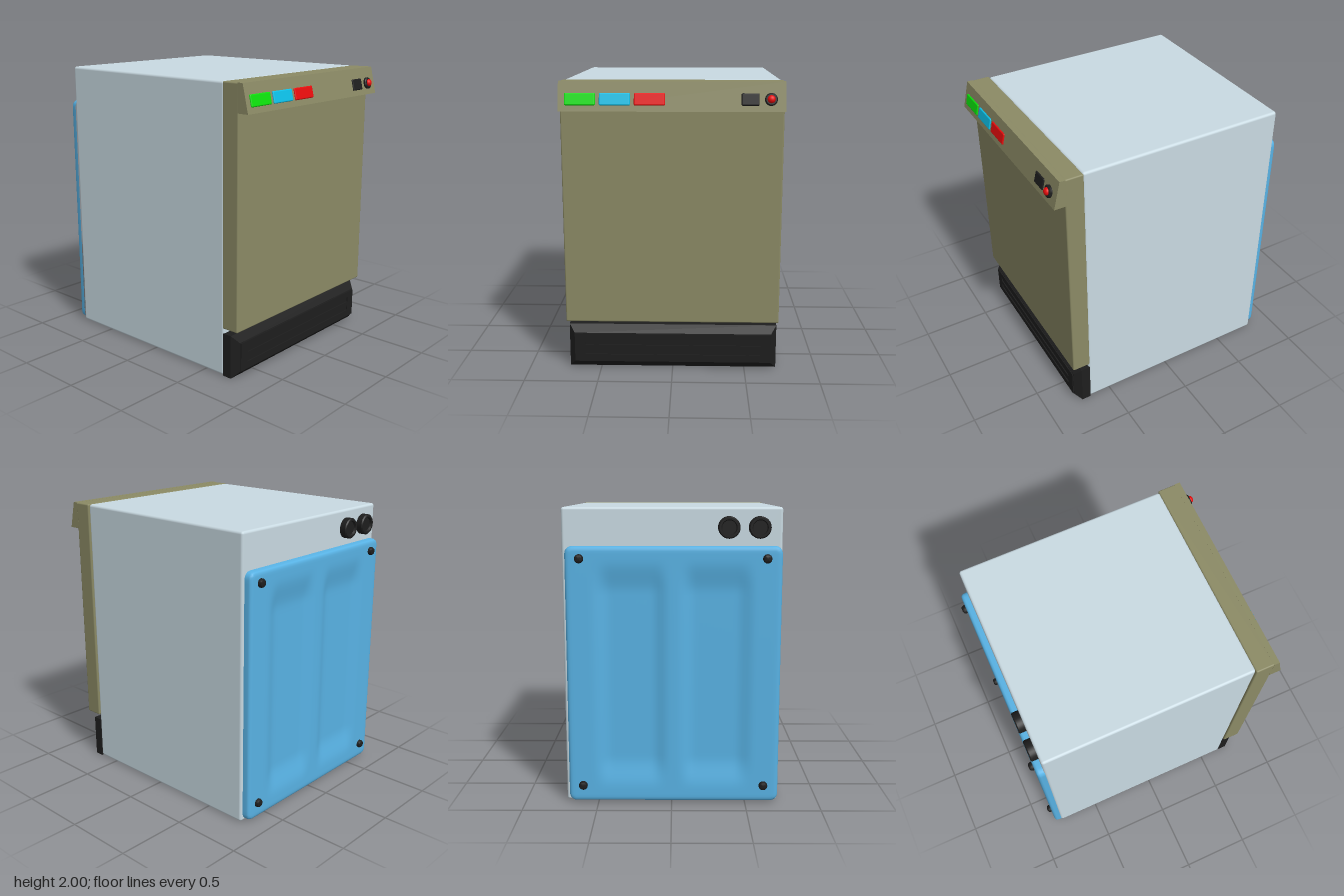
import * as THREE from 'three';
import { RoundedBoxGeometry } from 'three/addons/geometries/RoundedBoxGeometry.js';
import { toCreasedNormals } from 'three/addons/utils/BufferGeometryUtils.js';

const mat = (color) => new THREE.MeshStandardMaterial({ color });
const white = mat(0xc9dae2), olive = mat(0x8b8a65), black = mat(0x1e1e1e);
const blue = mat(0x58b2e4), green = mat(0x0be00b), cyan = mat(0x0cc0e8), red = mat(0xe80c0c);
const { smoothstep, clamp } = THREE.MathUtils;

function add(parent, name, geometry, material, x = 0, y = 0, z = 0) {
  const mesh = new THREE.Mesh(geometry, material);
  mesh.name = name;
  mesh.position.set(x, y, z);
  parent.add(mesh);
  return mesh;
}

// Rounded box given by its limits
function block(parent, name, material, [x0, x1], [y0, y1], [z0, z1], r) {
  return add(parent, name, new RoundedBoxGeometry(x1 - x0, y1 - y0, z1 - z0, 3, r), material,
    (x0 + x1) / 2, (y0 + y1) / 2, (z0 + z1) / 2);
}

// Turned part, its axis along +z
function turned(points, sides = 28) {
  const g = new THREE.LatheGeometry(points.map(([r, y]) => new THREE.Vector2(r, y)), sides);
  return toCreasedNormals(g.rotateX(Math.PI / 2), 0.7);
}

// Pressed sheet: rounded outline and rim, two soft sunken fields; faces -z
function pressedPanel(hx, hy, depth) {
  const n = 64, rim = 5, R = 0.05;
  const g = new THREE.PlaneGeometry(2, 2, n, n);
  const p = g.attributes.position;
  // Crowds the outer grid lines into the rim
  const spread = (t, half) => {
    const i = Math.round((t + 1) / 2 * n), j = Math.min(i, n - i);
    const d = j < rim ? R * (j / rim) ** 2 : R + (half - R) * (j - rim) / (n / 2 - rim);
    return (i < n / 2 ? -1 : 1) * (half - d);
  };
  for (let i = 0; i < p.count; i++) {
    let x = spread(p.getX(i), hx), y = spread(p.getY(i), hy);
    const qx = clamp(x, R - hx, hx - R), qy = clamp(y, R - hy, hy - R);
    const vx = x - qx, vy = y - qy;
    const m = Math.max(Math.abs(vx), Math.abs(vy)), len = Math.hypot(vx, vy) || 1;
    x = qx + vx / len * m;
    y = qy + vy / len * m;
    const ax = Math.abs(x), ay = Math.abs(y);
    const dish = smoothstep(ax, 0.03, 0.14) * (1 - smoothstep(ax, 0.42, 0.54))
      * (1 - smoothstep(ay, 0.56, 0.78));
    const edge = Math.max(0, 1 - Math.min(1, m / R) ** 4) ** 0.25;
    p.setXYZ(i, x, y, depth * edge - 0.03 * dish);
  }
  g.computeVertexNormals();
  return g.rotateY(Math.PI);
}

export function createModel() {
  const model = new THREE.Group();
  model.name = 'dishwasher';

  // Cabinet and door
  block(model, 'cabinet', white, [-0.724, 0.72], [0.003, 2], [-0.81, 0.668], 0.018);
  block(model, 'door', olive, [-0.735, 0.73], [0.35, 2], [0.665, 0.797], 0.01);

  // Control panel: wedge that leans back towards the top
  const wedge = new THREE.Shape([[-0.79, 1.81], [-0.79, 2], [-0.83, 2], [-0.875, 1.81]]
    .map(([x, y]) => new THREE.Vector2(x, y)));
  const wedgeGeo = new THREE.ExtrudeGeometry(wedge, { depth: 1.465, bevelEnabled: false });
  wedgeGeo.translate(0, 0, -0.7325).rotateY(Math.PI / 2);
  add(model, 'controlPanel', wedgeGeo, olive, -0.0025);

  // Buttons and knob lie on the slope of the panel
  const controls = new THREE.Group();
  controls.name = 'controls';
  controls.position.set(0, 1.888, 0.8565);
  controls.rotation.x = -Math.atan2(0.045, 0.19);
  model.add(controls);
  const buttons = [
    ['greenButton', green, -0.695, -0.495], ['blueButton', cyan, -0.47, -0.27],
    ['redButton', red, -0.245, -0.045], ['blackButton', black, 0.445, 0.56],
  ];
  for (const [name, color, x0, x1] of buttons) {
    block(controls, name, color, [x0, x1], [-0.04, 0.04], [-0.012, 0.009], 0.008);
  }
  add(controls, 'knob', turned([[0.041, -0.01], [0.041, 0.012], [0.034, 0.018], [0, 0.018]]), black, 0.635);
  const cap = add(controls, 'knobCap', new THREE.SphereGeometry(0.026, 20, 12), red, 0.635, 0, 0.017);
  cap.scale.z = 0.8;

  // Kick plate with chamfered front
  const kick = new THREE.BoxGeometry(1.445, 0.31, 0.115, 1, 1, 2).toNonIndexed();
  const kp = kick.attributes.position;
  for (let i = 0; i < kp.count; i++) {
    const z = kp.getZ(i);
    if (z > 0.05) {
      kp.setX(i, kp.getX(i) - Math.sign(kp.getX(i)) * 0.04);
      kp.setY(i, kp.getY(i) - Math.sign(kp.getY(i)) * 0.05);
    } else if (z > -0.05) kp.setZ(i, 0.01);
  }
  kick.computeVertexNormals();
  add(model, 'kickPlate', kick, black, 0, 0.155, 0.7205);

  // Kick plate face with two vent slots
  const rect = (Type, x, y0, y1) => new Type([[-x, y0], [x, y0], [x, y1], [-x, y1]]
    .map(([a, b]) => new THREE.Vector2(a, b)));
  const face = rect(THREE.Shape, 0.678, 0.054, 0.256);
  for (const y of [0.105, 0.175]) face.holes.push(rect(THREE.Path, 0.61, y, y + 0.037));
  add(model, 'ventFace', new THREE.ExtrudeGeometry(face, { depth: 0.009, bevelEnabled: false }),
    black, 0, 0, 0.777);

  // Back panel with corner screws
  add(model, 'backPanel', pressedPanel(0.7125, 0.87, 0.052), blue, -0.0125, 0.88, -0.808);
  const screw = turned([[0.03, -0.01], [0.03, 0.014], [0.024, 0.026], [0.012, 0.031], [0, 0.031]], 16);
  for (const x of [-0.622, 0.602]) {
    for (const y of [0.125, 1.67]) {
      add(model, 'screw', screw, black, x, y, -0.857).rotation.y = Math.PI;
    }
  }

  // Hose connectors
  const port = turned([[0.072, -0.01], [0.072, 0.042], [0.065, 0.05], [0.052, 0.05],
    [0.046, 0.036], [0, 0.036]]);
  for (const x of [-0.573, -0.373]) {
    add(model, 'hoseConnector', port, black, x, 1.87, -0.81).rotation.y = Math.PI;
  }
  return model;
}
